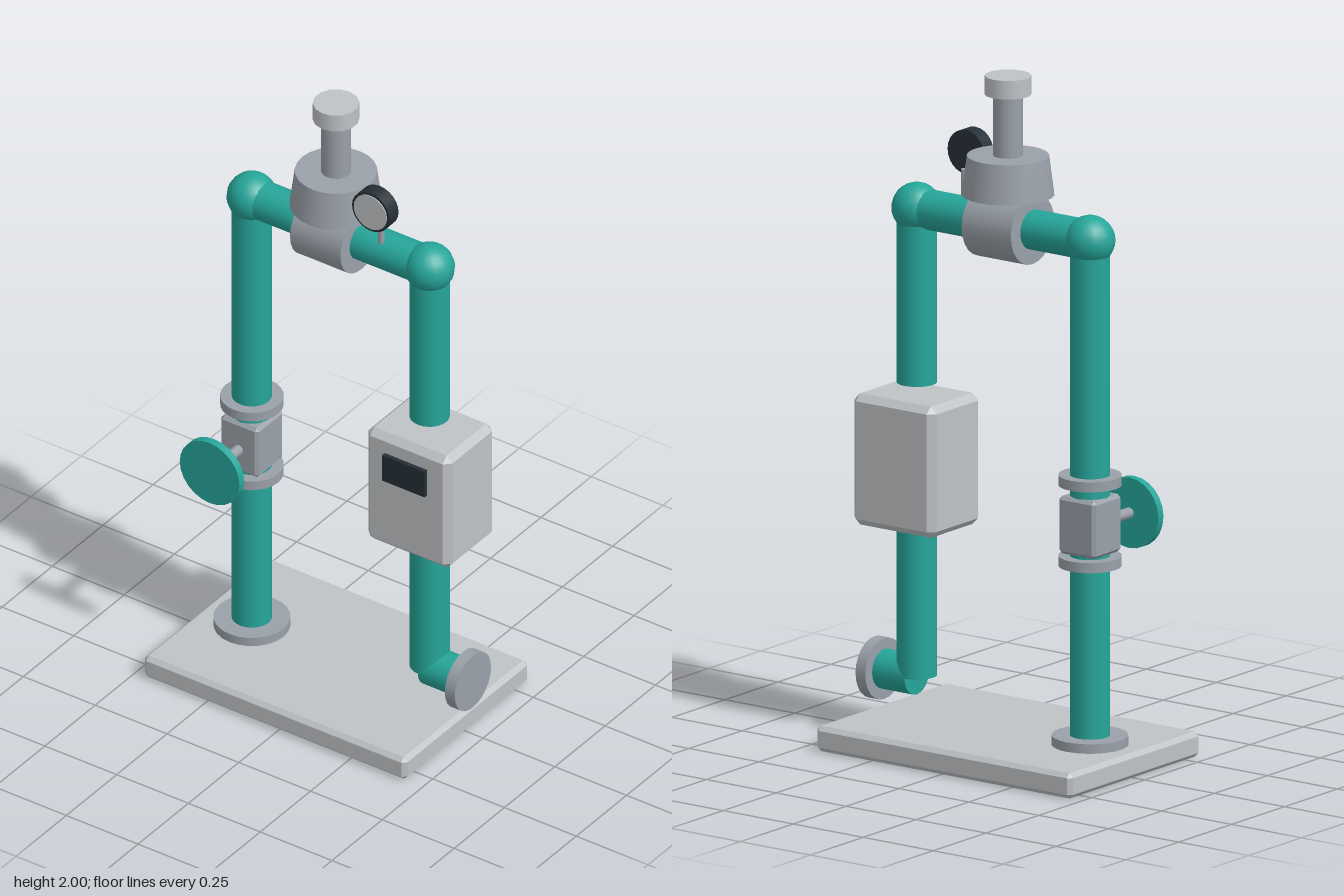
import * as THREE from 'three';
import { ConvexGeometry } from 'three/addons/geometries/ConvexGeometry.js';

const material = (name, color) => {
  const m = new THREE.MeshStandardMaterial({ color });
  m.name = name;
  return m;
};

export function createModel() {
  const group = new THREE.Group();
  const teal = material('teal paint', 0x26a69a);
  const light = material('light grey', 0xc0c3c6);
  const steel = material('steel grey', 0x9aa1a9);
  const dark = material('dark charcoal', 0x263038);

  const add = (name, geometry, mat, x, y, z) => {
    const mesh = new THREE.Mesh(geometry, mat);
    mesh.name = name;
    mesh.position.set(x, y, z);
    group.add(mesh);
    return mesh;
  };

  // Cylinder running from a to b along one axis, centred on (x, y, z) in the other two
  const rod = (name, axis, a, b, r, mat, [x, y, z], rEnd = r, sides = 24) => {
    const g = new THREE.CylinderGeometry(rEnd, r, b - a, sides);
    if (axis === 'x') g.rotateZ(-Math.PI / 2);
    if (axis === 'z') g.rotateX(Math.PI / 2);
    const mesh = add(name, g, mat, x, y, z);
    mesh.position[axis] = (a + b) / 2;
    return mesh;
  };

  // Box with all edges chamfered by c
  const chamferBox = (w, h, d, c) => {
    const points = [];
    for (const sx of [-1, 1]) for (const sy of [-1, 1]) for (const sz of [-1, 1]) {
      for (let k = 0; k < 3; k++) {
        const inset = [c, c, c];
        inset[k] = 0;
        points.push(new THREE.Vector3(
          sx * (w / 2 - inset[0]), sy * (h / 2 - inset[1]), sz * (d / 2 - inset[2])));
      }
    }
    return new ConvexGeometry(points);
  };

  const L = -0.305, R = 0.314, C = -0.012, TOP = 1.56, PIPE = 0.058;

  // Base plate and its pipe flange
  add('basePlate', chamferBox(0.914, 0.075, 0.618, 0.013), light, C, 0.0375, 0);
  rod('baseFlange', 'y', 0.07, 0.103, 0.11, steel, [L, 0, 0]);

  // Pipe frame
  rod('leftPipe', 'y', 0.09, TOP, PIPE, teal, [L, 0, 0]);
  rod('topPipe', 'x', L, R, PIPE, teal, [0, TOP, 0]);
  rod('upperRightPipe', 'y', 1.045, TOP, PIPE, teal, [R, 0, 0]);
  rod('lowerRightPipe', 'y', 0.182, 0.66, PIPE, teal, [R, 0, 0]);
  for (const x of [L, R])
    add('elbow', new THREE.SphereGeometry(0.073, 18, 14), teal, x, TOP, 0);

  // Outlet stub with end flange
  rod('outletPipe', 'x', R, 0.44, PIPE, teal, [0, 0.182, 0]);
  rod('outletFlange', 'x', 0.43, 0.465, 0.09, steel, [0, 0.182, 0]);

  // Valve with handwheel on the left pipe
  for (const y of [0.602, 0.84])
    rod('valveFlange', 'y', y, y + 0.03, 0.091, steel, [L, 0, 0]);
  add('valveBody', chamferBox(0.132, 0.17, 0.132, 0.01), steel, L, 0.725, 0);
  rod('valveStem', 'z', 0.05, 0.19, 0.016, steel, [L, 0.718, 0], 0.016, 12);
  rod('handwheel', 'z', 0.186, 0.21, 0.104, teal, [L, 0.718, 0]);

  // Control box with display
  add('controlBox', chamferBox(0.292, 0.387, 0.236, 0.02), light, 0.316, 0.8185, 0);
  add('display', new THREE.BoxGeometry(0.148, 0.088, 0.016), dark, R, 0.908, 0.123);

  // Central regulator: sleeve, tapered bonnet, spindle and cap
  rod('regulatorSleeve', 'x', -0.1, 0.076, 0.103, steel, [0, TOP, 0]);
  rod('regulatorBonnet', 'y', 1.65, 1.765, 0.133, steel, [C, 0, 0], 0.118);
  rod('regulatorSpindle', 'y', 1.76, 1.95, 0.043, steel, [C, 0, 0], 0.043, 16);
  rod('regulatorCap', 'y', 1.945, 2, 0.067, light, [C, 0, 0], 0.067, 14);

  // Pressure gauge
  rod('gaugeStem', 'y', 1.59, 1.69, 0.01, steel, [0.167, 0, 0.03], 0.01, 10);
  rod('gaugeBody', 'z', 0.037, 0.083, 0.065, dark, [0.167, 1.738, 0]);
  rod('gaugeFace', 'z', 0.08, 0.086, 0.057, light, [0.167, 1.738, 0]);

  return group;
}
